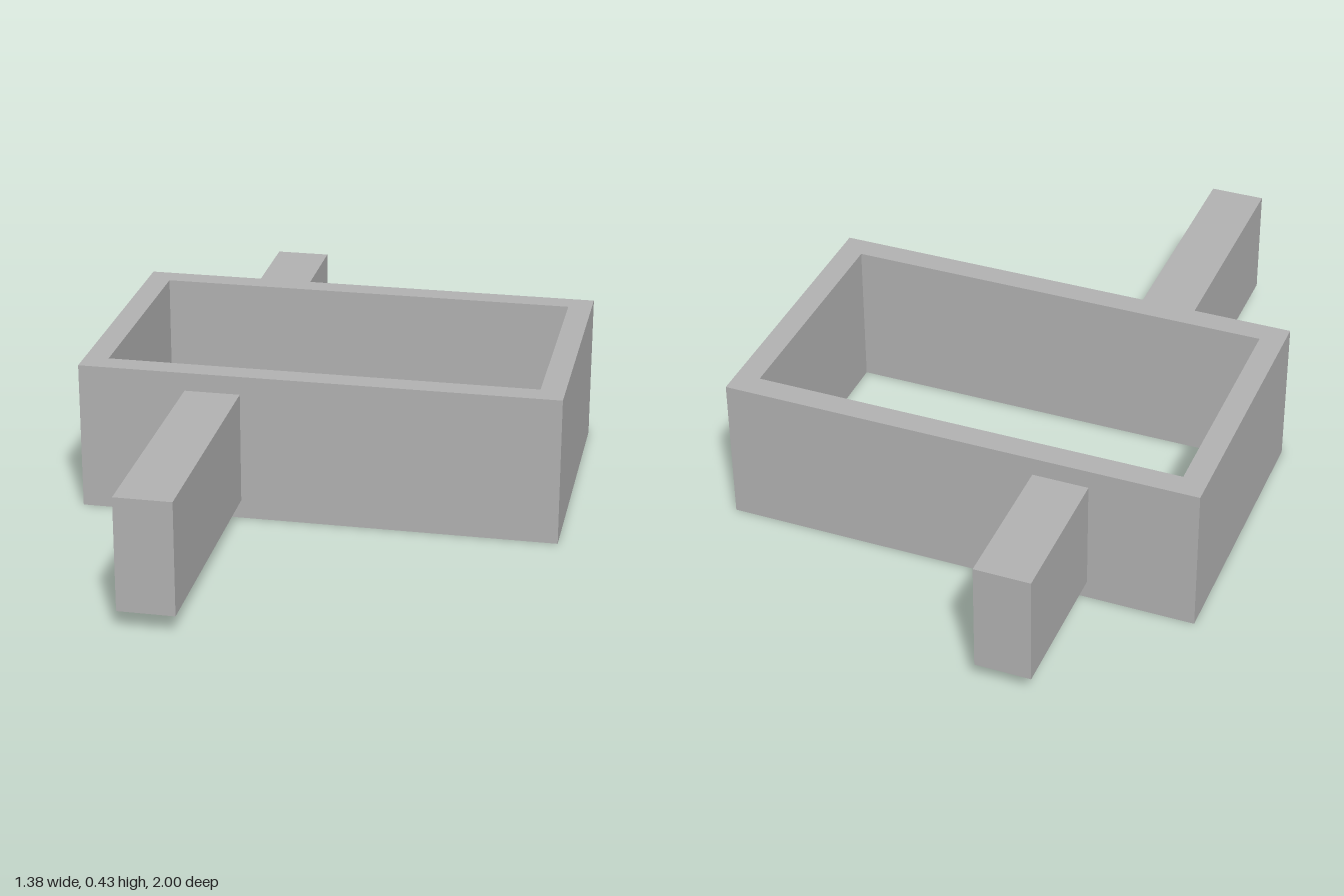
import * as THREE from 'three';

export function createModel() {
  const model = new THREE.Group();
  const grey = new THREE.MeshStandardMaterial({ color: 0xb2b2b2 });
  grey.name = 'grey';

  const halfWidth = 0.69, height = 0.433, wall = 0.07;
  const back = -0.577, front = 0.25;

  const rectangle = (Type, x0, x1, z0, z1) => new Type([
    new THREE.Vector2(x0, -z1), new THREE.Vector2(x1, -z1),
    new THREE.Vector2(x1, -z0), new THREE.Vector2(x0, -z0),
  ]);

  // Open rectangular frame, extruded upwards
  const outline = rectangle(THREE.Shape, -halfWidth, halfWidth, back, front);
  outline.holes.push(rectangle(THREE.Path, -halfWidth + wall, halfWidth - wall, back + wall, front - wall));
  const frameGeometry = new THREE.ExtrudeGeometry(outline, { depth: height, bevelEnabled: false });
  frameGeometry.rotateX(-Math.PI / 2);
  const frame = new THREE.Mesh(frameGeometry, grey);
  frame.name = 'frame';
  model.add(frame);

  // Bars standing out from the front and back walls
  const addBar = (name, z0, z1) => {
    const bar = new THREE.Mesh(new THREE.BoxGeometry(0.16, 0.325, z1 - z0), grey);
    bar.position.set(-0.3, 0.217, (z0 + z1) / 2);
    bar.name = name;
    model.add(bar);
  };
  addBar('frontBar', front, 1);
  addBar('backBar', -1, back);

  return model;
}
